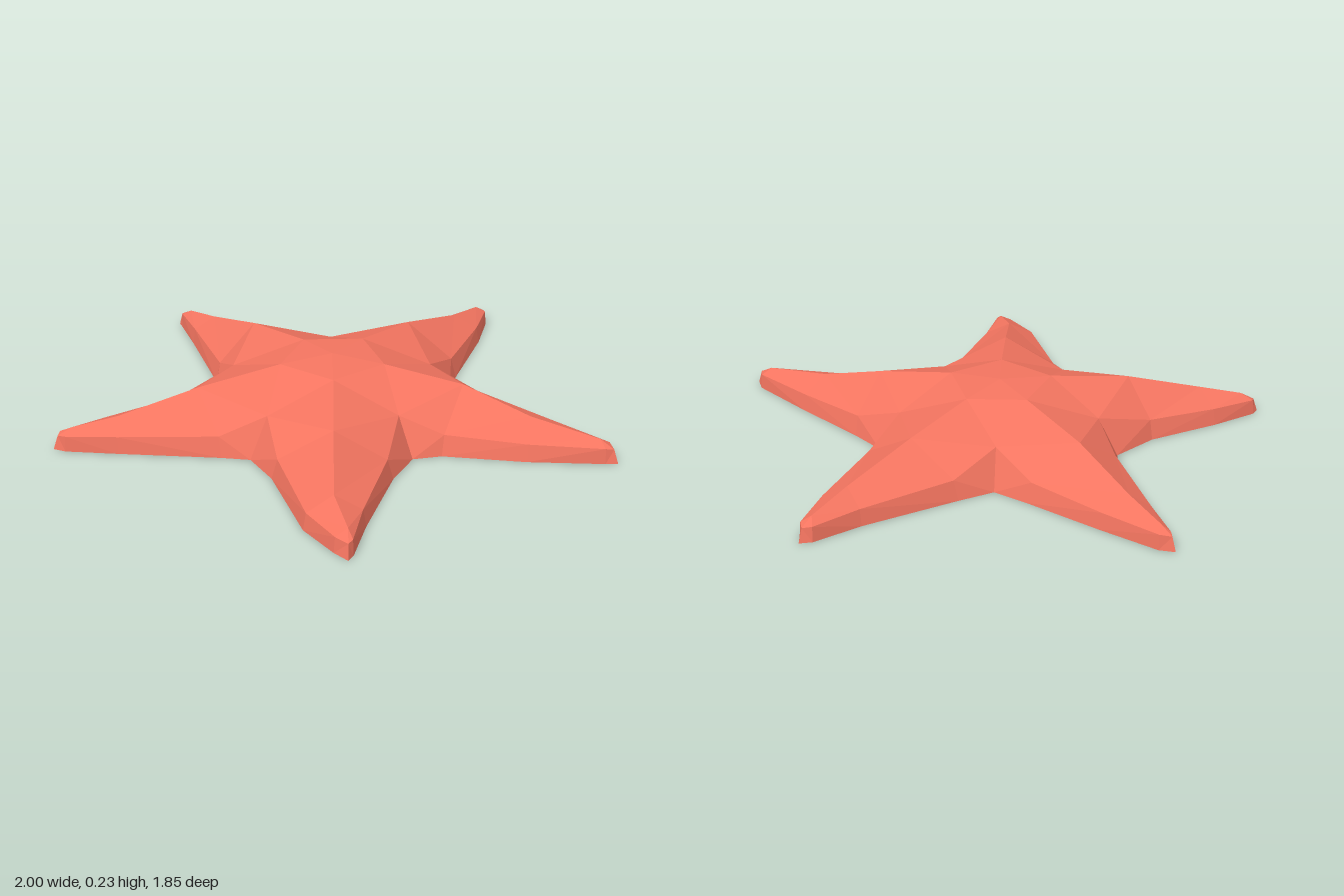
import * as THREE from 'three';

// Arms in clockwise order seen from above. All points are [x, z]:
// ring = start of the ridge, ridge / left / right = three stations going outward.
const ARMS = [
  { ring: [-0.03, -0.08], ridge: [[-0.03, -0.38], [-0.01, -0.68], [-0.02, -0.86]], tip: [-0.02, -0.925],
    left: [[-0.235, -0.37], [-0.1, -0.71], [-0.05, -0.89]], right: [[0.18, -0.39], [0.08, -0.72], [0.01, -0.89]] },
  { ring: [0.16, 0.06], ridge: [[0.43, -0.03], [0.68, -0.07], [0.93, -0.11]], tip: [1.0, -0.115],
    left: [[0.38, -0.225], [0.68, -0.19], [0.95, -0.15]], right: [[0.48, 0.18], [0.74, 0.05], [0.965, -0.09]] },
  { ring: [0.09, 0.27], ridge: [[0.27, 0.52], [0.45, 0.77], [0.575, 0.87]], tip: [0.615, 0.925],
    left: [[0.435, 0.41], [0.54, 0.72], [0.61, 0.89]], right: [[0.1, 0.64], [0.39, 0.855], [0.55, 0.912]] },
  { ring: [-0.14, 0.27], ridge: [[-0.31, 0.52], [-0.485, 0.74], [-0.6, 0.85]], tip: [-0.645, 0.9],
    left: [[-0.13, 0.62], [-0.44, 0.8], [-0.6, 0.89]], right: [[-0.48, 0.44], [-0.59, 0.69], [-0.65, 0.865]] },
  { ring: [-0.2, 0.05], ridge: [[-0.5, -0.04], [-0.77, -0.13], [-0.93, -0.18]], tip: [-1.0, -0.19],
    left: [[-0.53, 0.155], [-0.83, -0.07], [-0.97, -0.17]], right: [[-0.42, -0.235], [-0.72, -0.228], [-0.95, -0.215]] },
];
// Notch after each arm: bottom edge and upper edge
const NOTCH_BASE = [[0.24, -0.25], [0.41, 0.255], [-0.04, 0.575], [-0.455, 0.255], [-0.29, -0.245]];
const NOTCH_TOP = [[0.195, -0.185], [0.335, 0.23], [-0.03, 0.49], [-0.385, 0.23], [-0.245, -0.18]];
const RIDGE_Y = [0.178, 0.108, 0.077];
const SHOULDER_Y = [0.072, 0.06, 0.055];
const CENTRE = [-0.03, 0.11];

const at = ([x, z], y) => new THREE.Vector3(x, y, z);

// Collects flat facets
function facets() {
  const pos = [];
  const tri = (a, b, c) => {
    if (a === b || b === c || a === c) return;
    for (const p of [a, b, c]) pos.push(p.x, p.y, p.z);
  };
  const quad = (a, b, c, d, flip = false) => {
    if (flip) { tri(a, b, d); tri(b, c, d); } else { tri(a, b, c); tri(a, c, d); }
  };
  const build = () => {
    const g = new THREE.BufferGeometry();
    g.setAttribute('position', new THREE.Float32BufferAttribute(pos, 3));
    g.computeVertexNormals();
    return g;
  };
  return { tri, quad, build };
}

// Cross-sections of one arm: base, shoulder, ridge, shoulder, base
function armSections(arm, i) {
  const prev = (i + 4) % 5;
  const rows = [[at(NOTCH_BASE[prev], 0), at(NOTCH_TOP[prev], 0.135), at(arm.ring, 0.218),
    at(NOTCH_TOP[i], 0.135), at(NOTCH_BASE[i], 0)]];
  for (let s = 0; s < 3; s++) {
    const ridge = at(arm.ridge[s], RIDGE_Y[s]);
    const shoulder = (p) => {
      const v = at(p, 0).lerp(ridge, 0.1);
      v.y = SHOULDER_Y[s];
      return v;
    };
    rows.push([at(arm.left[s], 0), shoulder(arm.left[s]), ridge, shoulder(arm.right[s]), at(arm.right[s], 0)]);
  }
  const tip = at(arm.tip, 0);
  const tipTop = tip.clone().lerp(rows[3][2], 0.25);
  tipTop.y = 0.05;
  rows.push([tip, tipTop, tipTop, tipTop, tip]);
  return rows;
}

export function createModel() {
  const group = new THREE.Group();
  group.name = 'starfish';
  const material = new THREE.MeshStandardMaterial({ color: 0xf47560, flatShading: true });
  const add = (name, f) => {
    const mesh = new THREE.Mesh(f.build(), material);
    mesh.name = name;
    group.add(mesh);
  };

  const body = facets();
  const underside = facets();
  const mouth = facets();
  const top = at(CENTRE, 0.23);
  const mouthTop = at(CENTRE, 0.03);
  // Rim of the small hollow under the centre, one corner per notch
  const rim = NOTCH_BASE.map((p) => at(CENTRE, 0).lerp(at(p, 0), 0.17));

  ARMS.forEach((arm, i) => {
    const next = (i + 1) % 5, prev = (i + 4) % 5;
    const rows = armSections(arm, i);

    // Upper skin of the arm, closed below by a flat strip
    const skin = facets();
    for (let s = 0; s < 4; s++) {
      const a = rows[s], b = rows[s + 1];
      for (let j = 0; j < 4; j++) skin.quad(a[j], a[j + 1], b[j + 1], b[j], j >= 2);
      underside.quad(a[0], b[0], b[4], a[4]);
    }
    add('arm' + (i + 1), skin);

    // Central dome
    const r0 = at(arm.ring, 0.218), r1 = at(ARMS[next].ring, 0.218);
    body.tri(top, r1, r0);
    body.tri(r0, r1, at(NOTCH_TOP[i], 0.135));

    // Flat centre of the underside and its hollow
    underside.quad(rim[prev], rows[0][0], rows[0][4], rim[i]);
    mouth.tri(rim[prev], rim[i], mouthTop);
  });

  add('centralDome', body);
  add('underside', underside);
  add('mouthHollow', mouth);
  return group;
}
